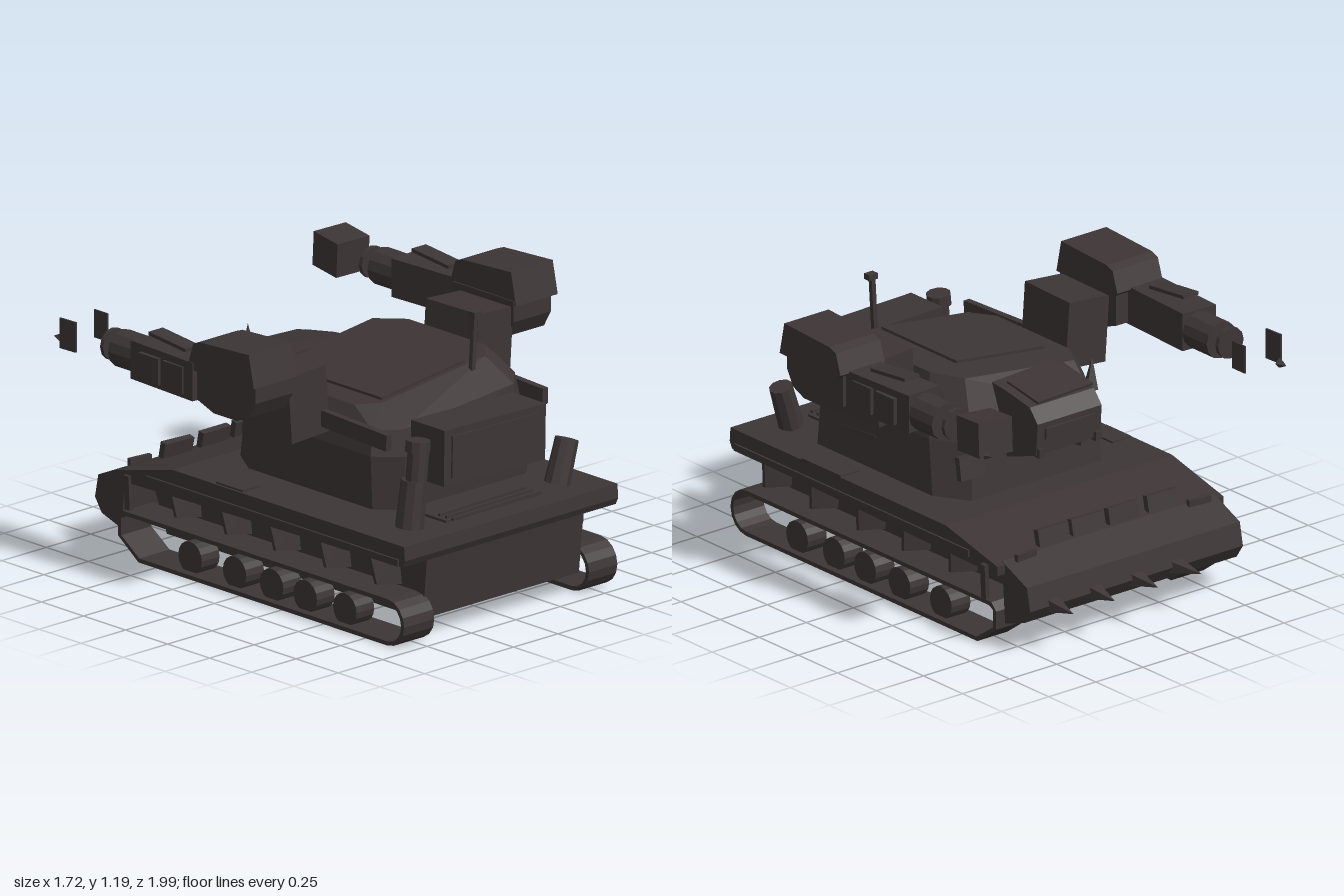
import * as THREE from 'three';
import { ConvexGeometry } from 'three/addons/geometries/ConvexGeometry.js';

export function createModel() {
  const model = new THREE.Group();
  model.name = 'tank';
  const armour = new THREE.MeshStandardMaterial({ color: 0x3d3535 });
  armour.name = 'dark armour';
  armour.flatShading = true;
  armour.side = THREE.DoubleSide;

  const add = (name, geometry, pos = [0, 0, 0], rot = [0, 0, 0]) => {
    const m = new THREE.Mesh(geometry, armour);
    m.name = name;
    m.position.set(...pos);
    m.rotation.set(...rot);
    model.add(m);
    return m;
  };
  const box = (name, size, pos, rot) => add(name, new THREE.BoxGeometry(...size), pos, rot);
  const convex = (name, pts, pos, rot) =>
    add(name, new ConvexGeometry(pts.map(p => new THREE.Vector3(...p))), pos, rot);

  // Extrudes a [z, y] side profile from x0 to x1, with an optional hole
  const sideExtrude = (name, profile, x0, x1, hole) => {
    const toV = p => p.map(([z, y]) => new THREE.Vector2(-z, y));
    const shape = new THREE.Shape(toV(profile));
    if (hole) shape.holes.push(new THREE.Path(toV(hole)));
    const g = new THREE.ExtrudeGeometry(shape, { depth: x1 - x0, bevelEnabled: false });
    g.rotateY(Math.PI / 2);
    return add(name, g, [x0, 0, 0]);
  };

  // Hull: deck slab over a narrower body
  sideExtrude('deck', [[0.98, 0.81], [-0.4, 0.81], [-0.73, 0.73], [-0.73, 0.69], [0.97, 0.72], [0.985, 0.75]], -0.61, 0.59);
  sideExtrude('lowerHull', [[0.95, 0.74], [0.92, 0.45], [-0.6, 0.45], [-0.71, 0.72]], -0.45, 0.43);
  box('deckPanelLeft', [0.1, 0.01, 0.25], [0.54, 0.813, 0.4]);
  box('deckPanelRight', [0.1, 0.01, 0.16], [-0.55, 0.813, -0.07]);
  box('rearGrille', [0.54, 0.012, 0.14], [0, 0.814, 0.8]);
  [0.8, 0.84, 0.88].forEach(z => box('grilleSlat', [0.5, 0.012, 0.012], [0, 0.825, z], [0, 0.03, 0]));

  // Bow plough with a row of spikes
  sideExtrude('plough', [[-0.71, 0.74], [-0.87, 0.67], [-0.89, 0.57], [-0.85, 0.51], [-0.73, 0.47]], -0.58, 0.55);
  [[-0.23, -0.27], [-0.02, -0.04], [0.2, 0.19], [0.42, 0.41]].forEach(([x, tip]) =>
    convex('ploughSpike', [[x - 0.03, 0.6, -0.87], [x + 0.035, 0.6, -0.87], [x + 0.035, 0.54, -0.86],
      [x - 0.03, 0.54, -0.86], [tip, 0.56, -1]]));

  // Blocks along the sloping bow
  [[-0.32, 0.06], [-0.11, 0], [0.08, 0.08], [0.26, 0.04]].forEach(([x, r]) =>
    box('bowBlock', [0.155, 0.07, 0.03], [x, 0.775, -0.68], [0.2, -r, 0]));
  [-0.48, 0.44].forEach(x => box('bowMarker', [0.11, 0.03, 0.02], [x, 0.745, -0.73], [0, x * 0.2, 0]));

  // Track loop outline, shrunk inward for the inner edge
  const trackLoop = t => {
    const pts = [];
    for (let i = 0; i <= 8; i++) {
      const a = Math.PI / 2 - (Math.PI * i) / 8;
      pts.push([0.88 + Math.cos(a) * (0.1 - t), 0.463 + Math.sin(a) * (0.1 - t)]);
    }
    pts.push([-0.6 + t * 0.3, 0.363 + t], [-0.72 + t, 0.45 + t * 0.3], [-0.72 + t, 0.53], [-0.69 + t * 0.7, 0.563 - t]);
    return pts;
  };
  [[-0.61, -0.44], [0.43, 0.59]].forEach(([x0, x1]) => {
    sideExtrude('track', trackLoop(0), x0, x1, trackLoop(0.018));
    [0.59, 0.355, 0.155, -0.065, -0.33].forEach(z =>
      add('roadWheel', new THREE.CylinderGeometry(0.07, 0.07, 0.1, 16), [(x0 + x1) / 2, 0.44, z], [0, 0, Math.PI / 2]));
    // Ribs bracing the deck overhang
    const s = Math.sign(x0), inner = s > 0 ? x0 : x1, outer = s > 0 ? x1 : x0;
    [0.77, 0.47, 0.17, -0.12, -0.42].forEach(z =>
      convex('deckRib', [-0.008, 0.008].flatMap(d => [[inner, 0.73, z + d], [outer, 0.73, z + d],
        [outer - s * 0.02, 0.6, z + d + 0.02], [inner, 0.57, z + d + 0.02]])));
    box('sideRail', [0.012, 0.03, 1.5], [outer + s * 0.003, 0.735, 0.2]);
  });
  [[0.6, 0.05], [-0.61, -0.05]].forEach(([x, r]) =>
    box('sidePlate', [0.02, 0.15, 0.03], [x, 0.65, -0.66], [0, 0, -r]));

  // Turret: faceted rings, its roof rising towards +x
  const ring = (xl, xr, zb, zf, c, y, tilt) => [
    [xl + c, zb], [xr - c, zb], [xr, zb + c * 1.6], [xr, zf - c], [xr - c, zf], [xl + c, zf], [xl, zf - c], [xl, zb + c * 1.6],
  ].map(([x, z]) => [x, y + tilt * x, z]);
  convex('turret', [
    ...ring(-0.41, 0.46, -0.3, 0.67, 0.09, 0.83, 0),
    ...ring(-0.42, 0.44, -0.27, 0.68, 0.1, 1.06, 0),
    ...ring(-0.4, 0.4, -0.2, 0.66, 0.09, 1.2, 0.09),
    ...ring(-0.36, 0.38, -0.17, 0.5, 0.08, 1.275, 0.12),
  ]);
  box('roofHatch', [0.47, 0.012, 0.48], [-0.03, 1.277, 0.24], [0, 0, 0.12]);
  box('bustleBox', [0.57, 0.24, 0.2], [0, 1.085, 0.775], [0, 0, -0.02]);
  box('bustleLid', [0.49, 0.18, 0.01], [0, 1.085, 0.878], [0, 0, -0.02]);
  box('turretSlit', [0.01, 0.03, 0.22], [0.445, 0.95, 0.33], [0.08, 0, 0]);

  // Sensor head on the fighting side of the turret
  sideExtrude('sensorHead', [[-0.15, 1.27], [-0.26, 1.26], [-0.43, 1.23], [-0.48, 1.17], [-0.47, 1.03], [-0.29, 0.97], [-0.15, 0.97]], -0.17, 0.17);
  box('headLid', [0.29, 0.012, 0.2], [-0.02, 1.258, -0.33], [-0.16, 0, -0.04]);
  box('headVisor', [0.26, 0.05, 0.012], [0, 1.12, -0.482], [-0.07, 0, 0]);
  [-0.15, 0.15].forEach(x => box('headTooth', [0.03, 0.04, 0.03], [x, 1.04, -0.47]));
  add('headHorn', new THREE.ConeGeometry(0.035, 0.14, 4), [-0.19, 1.28, -0.39], [0, 0.4, 0.08]);
  [[-0.25, 0.15], [0.37, -0.1]].forEach(([x, r]) =>
    box('turretPlate', [0.12, 0.1, 0.03], [x, 0.98, -0.29], [0.15, r, 0]));

  // Antenna
  box('antennaMast', [0.02, 0.25, 0.02], [0.205, 1.4, 0.53], [0, 0, -0.06]);
  box('antennaTip', [0.045, 0.025, 0.035], [0.213, 1.52, 0.535]);

  // Exhaust stacks: the right one is tall, the left one short
  add('exhaustBase', new THREE.CylinderGeometry(0.055, 0.06, 0.2, 10), [-0.425, 0.92, 0.83], [0, 0, -0.13]);
  add('exhaustPipe', new THREE.CylinderGeometry(0.045, 0.045, 0.17, 10), [-0.405, 1.06, 0.84], [0, 0, -0.1]);
  add('exhaustCap', new THREE.CylinderGeometry(0.052, 0.052, 0.05, 10), [-0.4, 1.165, 0.84], [0, 0, -0.1]);
  add('exhaustBase', new THREE.CylinderGeometry(0.05, 0.055, 0.19, 10), [0.42, 0.91, 0.83], [0, 0, -0.3]);

  // Gun arms, mirrored with small offsets
  [1, -1].forEach(s => {
    const dy = s > 0 ? 0.01 : -0.01;
    box('sideBar', [0.03, 0.07, 0.5], [s * 0.44, 1.165, 0.46], [0.04, 0, 0]);
    box('shoulder', [0.205, 0.29, 0.3], [s * 0.515, 1.255 + dy, 0.17], [0, s * 0.04, -s * 0.07]);
    // Pod: rounded lower body under an overhanging cap
    const [a, b] = s > 0 ? [0.62, 0.83] : [-0.83, -0.62];
    const low = sideExtrude('podBody', [[0.33, 1.42], [0.33, 1.33], [0.29, 1.26], [0.22, 1.23], [0.08, 1.23], [-0.03, 1.27], [-0.03, 1.42]], a, b);
    low.position.y = dy;
    const [c, d] = s > 0 ? [0.625, 0.86] : [-0.85, -0.61];
    const cap = sideExtrude('podCap', [[0.34, 1.4], [0.31, 1.54], [0.02, 1.525], [-0.02, 1.51], [-0.05, 1.42], [-0.02, 1.395]], c, d);
    cap.position.y = dy;
    // Gun
    const gx = s > 0 ? 0.72 : -0.76;
    box('gunBody', [0.17, 0.165, 0.39], [gx, 1.345 + dy, -0.21], [0, s > 0 ? 0.05 : -0.05, 0]);
    [-0.135, -0.28].forEach(z => box('gunPanel', [0.02, 0.115, 0.12], [gx + s * 0.09, 1.34 + dy, z]));
    box('gunSight', [0.08, 0.015, 0.22], [gx, 1.455 + dy, -0.23], [0.1, 0, 0]);
    const bx = s > 0 ? 0.715 : -0.745;
    add('gunBarrel', new THREE.CylinderGeometry(0.08, 0.08, 0.16, 12), [bx, 1.34 + dy, -0.475], [Math.PI / 2, 0, 0]);
    add('barrelRing', new THREE.CylinderGeometry(0.068, 0.068, 0.018, 12), [s > 0 ? 0.71 : -0.745, 1.345 + dy, -0.605], [Math.PI / 2, 0, 0]);
  });

  // Muzzle pieces floating ahead of the barrels
  box('muzzleBlock', [0.165, 0.15, 0.16], [0.7, 1.365, -0.78], [0.1, -0.1, 0.04]);
  add('muzzleSpike', new THREE.ConeGeometry(0.025, 0.05, 4), [0.755, 1.31, -0.87], [-Math.PI / 2, 0, 0]);
  box('muzzlePlate', [0.008, 0.13, 0.09], [-0.835, 1.35, -0.78], [0, 0.05, 0]);
  box('muzzlePlate', [0.006, 0.12, 0.08], [-0.65, 1.35, -0.78]);
  add('muzzleSpike', new THREE.ConeGeometry(0.022, 0.045, 4), [-0.8, 1.31, -0.88], [-Math.PI / 2, 0, 0]);

  return model;
}
